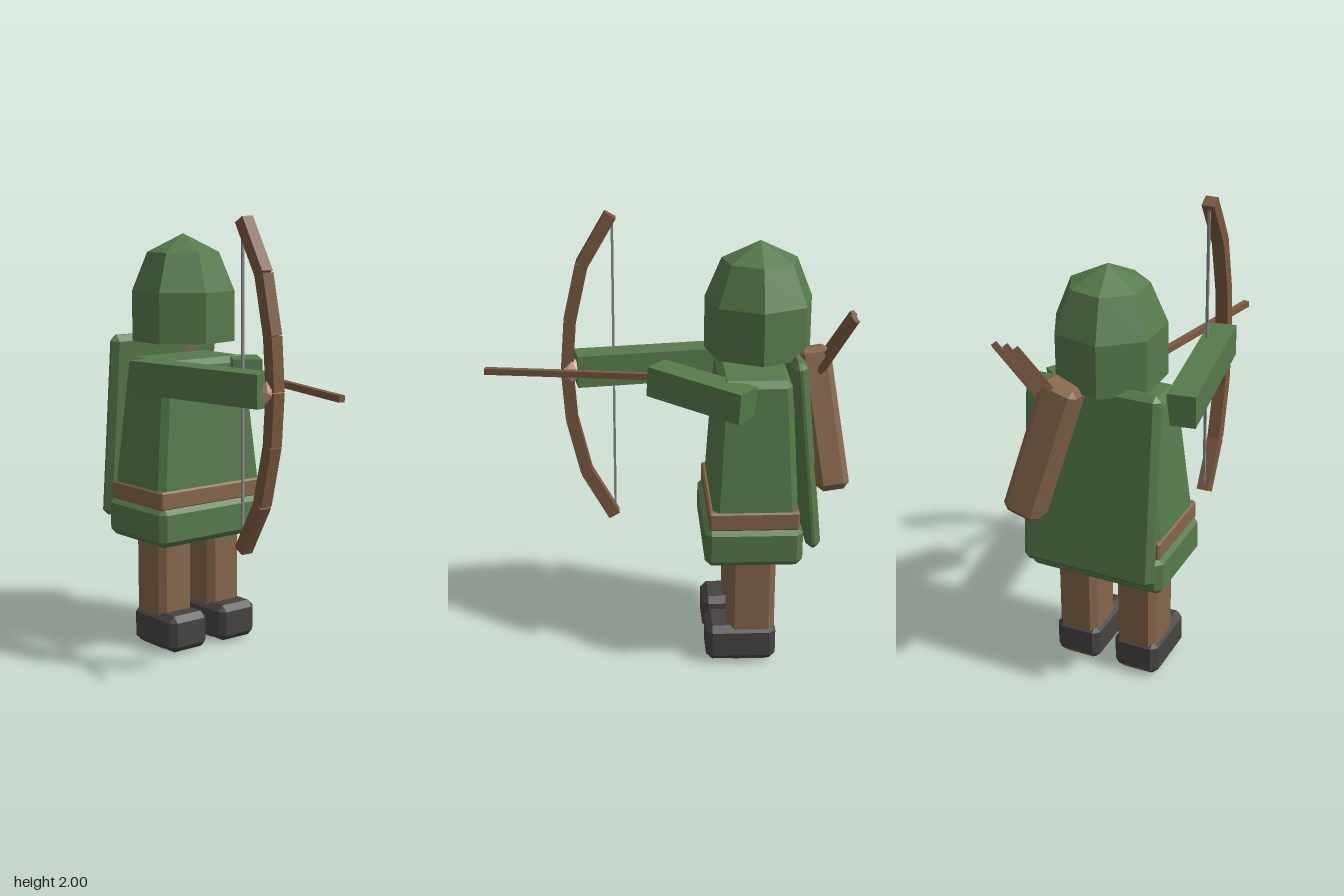
import * as THREE from 'three';
import { ConvexGeometry } from 'three/addons/geometries/ConvexGeometry.js';

const makeMaterial = (name, color) => {
  const m = new THREE.MeshStandardMaterial({ color });
  m.name = name;
  return m;
};

// Faceted copy of a geometry: one normal per face
function faceted(geo) {
  const g = geo.index ? geo.toNonIndexed() : geo;
  g.computeVertexNormals();
  return g;
}

// Box with chamfered edges; top scales the upper end in x and z
function chamferBox(w, h, d, c, topX = 1, topZ = 1) {
  const pts = [];
  for (const sx of [-1, 1]) for (const sy of [-1, 1]) for (const sz of [-1, 1]) {
    const kx = sy > 0 ? topX : 1, kz = sy > 0 ? topZ : 1;
    const x = (w / 2) * kx, y = h / 2, z = (d / 2) * kz;
    pts.push(new THREE.Vector3(sx * x, sy * (y - c), sz * (z - c)));
    pts.push(new THREE.Vector3(sx * (x - c), sy * y, sz * (z - c)));
    pts.push(new THREE.Vector3(sx * (x - c), sy * (y - c), sz * z));
  }
  return new ConvexGeometry(pts);
}

export function createModel() {
  const root = new THREE.Group();
  root.name = 'hoodedArcher';
  const green = makeMaterial('green cloth', 0x567b4b);
  const brown = makeMaterial('brown leather', 0x86674b);
  const wood = makeMaterial('dark wood', 0x7a593f);
  const black = makeMaterial('boot leather', 0x474343);
  const skin = makeMaterial('skin', 0xd3ab95);
  const grey = makeMaterial('bow string', 0x8c8c8c);

  const add = (name, geo, mat, x = 0, y = 0, z = 0, parent = root) => {
    const m = new THREE.Mesh(geo, mat);
    m.name = name;
    m.position.set(x, y, z);
    parent.add(m);
    return m;
  };

  // Bar running from a to b, with its local z along the line
  const bar = (name, a, b, w, h, mat, parent = root, extra = 0) => {
    const p = new THREE.Vector3(...a), q = new THREE.Vector3(...b);
    const geo = new THREE.BoxGeometry(w, h, p.distanceTo(q) + extra);
    const mid = p.clone().add(q).multiplyScalar(0.5);
    const m = add(name, geo, mat, mid.x, mid.y, mid.z, parent);
    m.quaternion.setFromRotationMatrix(new THREE.Matrix4().lookAt(q, p, new THREE.Vector3(0, 1, 0)));
    return m;
  };

  // Legs and boots
  for (const [side, s] of [['left', 1], ['right', -1]]) {
    add(side + 'Leg', chamferBox(0.185, 0.56, 0.21, 0.028), brown, s * 0.143, 0.28, -0.383);
    add(side + 'Boot', chamferBox(0.21, 0.17, 0.315, 0.028), black, s * 0.143, 0.095, -0.337);
  }

  // Tunic
  add('tunicSkirt', chamferBox(0.625, 0.18, 0.43, 0.028), green, 0, 0.605, -0.38);
  add('belt', chamferBox(0.6, 0.085, 0.395, 0.008), brown, 0, 0.728, -0.38);
  add('tunicBody', chamferBox(0.59, 0.63, 0.375, 0.028, 0.8, 0.83), green, 0, 1.033, -0.385);

  // Cape leaning back towards its hem
  const cape = add('cape', chamferBox(0.605, 0.86, 0.065, 0.026), green, 0, 1.02, -0.6);
  cape.rotation.x = 0.1;

  // Hood and chin: seven sided, with a two-step dome
  const hoodProfile = [[0, 1.42], [0.24, 1.42], [0.24, 1.65], [0.168, 1.825], [0, 1.908]];
  const hood = add('hood', faceted(new THREE.LatheGeometry(
    hoodProfile.map(([r, y]) => new THREE.Vector2(r, y)), 7, Math.PI / 2)), green, 0, 0, -0.408);
  hood.userData.sides = 7;
  const chin = add('chin', faceted(new THREE.ConeGeometry(0.11, 0.095, 5)), skin, 0, 1.4175, -0.35);
  chin.rotation.x = Math.PI;

  // Arms
  bar('rightArm', [-0.295, 1.283, -0.35], [-0.18, 1.283, 0.392], 0.125, 0.145, green);
  bar('leftArm', [0.298, 1.268, -0.34], [0.01, 1.3, 0.04], 0.13, 0.135, green);
  add('bowHand', faceted(new THREE.IcosahedronGeometry(0.056, 0)), skin, -0.17, 1.28, 0.41);

  // Bow made of straight segments, plus its string
  const bow = new THREE.Group();
  bow.name = 'bow';
  root.add(bow);
  const bowPath = [[1.985, 0.23], [1.765, 0.358], [1.51, 0.415], [1.28, 0.432],
    [1.05, 0.415], [0.79, 0.352], [0.57, 0.228]];
  for (let i = 0; i < bowPath.length - 1; i++) {
    const [y0, z0] = bowPath[i], [y1, z1] = bowPath[i + 1];
    bar('bowSegment', [-0.17, y0, z0], [-0.17, y1, z1], 0.058, 0.055, wood, bow);
  }
  add('bowString', new THREE.BoxGeometry(0.011, 1.36, 0.011), grey, -0.17, 1.275, 0.223, bow);

  // Drawn arrow
  bar('drawnArrow', [0.012, 1.304, 0.0], [-0.138, 1.29, 0.797], 0.028, 0.028, wood);

  // Quiver slung across the back, with spare arrows
  const top = new THREE.Vector3(0.09, 1.465, -0.63), base = new THREE.Vector3(0.255, 0.865, -0.718);
  const quiver = add('quiver', chamferBox(0.165, 0.625, 0.14, 0.026), brown,
    (top.x + base.x) / 2, (top.y + base.y) / 2, (top.z + base.z) / 2);
  quiver.quaternion.setFromUnitVectors(new THREE.Vector3(0, 1, 0), top.clone().sub(base).normalize());
  for (let i = 0; i < 3; i++) {
    const x = 0.22 + i * 0.05;
    bar('spareArrow', [x - 0.13, 1.38, -0.655], [x, 1.648, -0.775 - (i === 0 ? 0.006 : 0)], 0.026, 0.026, wood);
  }
  return root;
}
